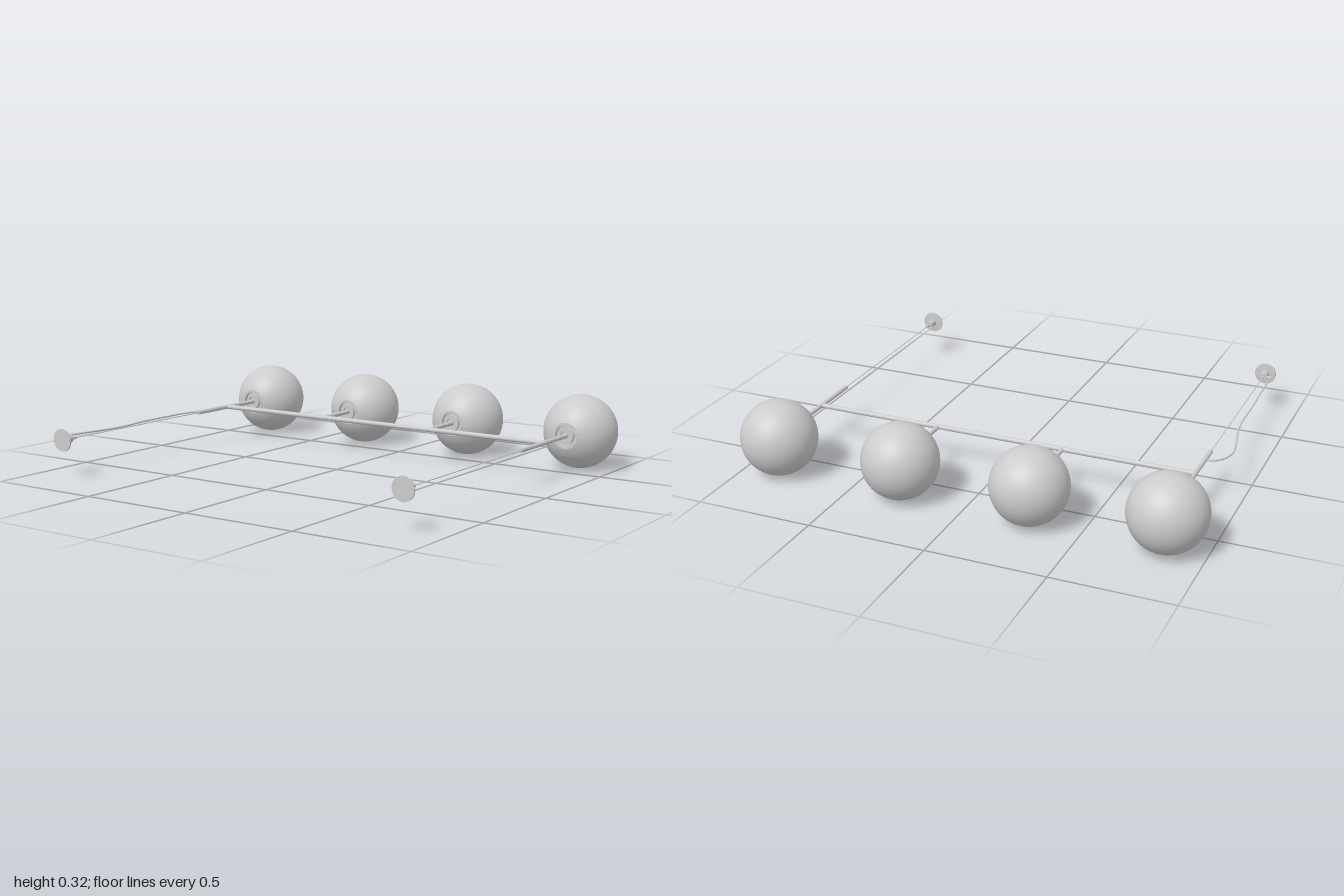
import * as THREE from 'three';

const Y = 0.16; // height of the lamp's axis plane

export function createModel() {
  const group = new THREE.Group();
  const mat = new THREE.MeshStandardMaterial({ color: 0xcccccc, side: THREE.DoubleSide });

  const add = (name, geometry, x, y, z, parent = group) => {
    const mesh = new THREE.Mesh(geometry, mat);
    mesh.name = name;
    mesh.position.set(x, y, z);
    parent.add(mesh);
    return mesh;
  };

  // Cylinder running along z from z0 to z1
  const rod = (name, x, z0, z1, r, parent) =>
    add(name, new THREE.CylinderGeometry(r, r, z1 - z0, 20).rotateX(Math.PI / 2), x, Y, (z0 + z1) / 2, parent);

  // Lathe about z; points are [radius, z], each segment is kept sharp
  const turned = (name, pts, x, z, parent) => {
    const part = new THREE.Group();
    part.name = name;
    part.position.set(x, Y, z);
    for (let i = 0; i + 1 < pts.length; i++) {
      const pair = [pts[i], pts[i + 1]].map(([r, h]) => new THREE.Vector2(r, h));
      add(name + 'Surface', new THREE.LatheGeometry(pair, 32).rotateX(Math.PI / 2), 0, 0, 0, part);
    }
    parent.add(part);
  };

  // Four globes, each with an opening, a recessed collar and a stem
  const R = 0.16, opening = 0.36;
  for (const x of [-0.84, -0.28, 0.28, 0.84]) {
    const lamp = new THREE.Group();
    lamp.name = 'lamp';
    group.add(lamp);
    const globe = new THREE.SphereGeometry(R, 48, 32, 0, Math.PI * 2, opening, Math.PI - opening);
    add('globe', globe.rotateX(Math.PI / 2), x, Y, -0.64, lamp);
    turned('collar', [
      [0.057, -0.006], [0.057, 0.003], [0.046, 0.003], [0.046, -0.012],
      [0.036, -0.012], [0.036, 0.002], [0.022, 0.002], [0.022, -0.006], [0, -0.006],
    ], x, -0.492, lamp);
    const outer = Math.abs(x) > 0.5;
    rod('stem', x, -0.5, outer ? -0.08 : -0.295, 0.0095, lamp);
  }

  // Cross bar joining the stems
  add('crossBar', new THREE.CylinderGeometry(0.0105, 0.0105, 1.68, 20).rotateZ(Math.PI / 2), 0, Y, -0.295);

  // Suspension wires and ceiling mounts
  for (const x of [-0.84, 0.84]) {
    rod('wireTip', x, -0.08, -0.07, 0.004, group);
    rod('suspensionWire', x, -0.08, 0.73, 0.002, group);
    turned('ceilingMount', [
      [0, -0.08], [0.006, -0.08], [0.006, -0.05], [0.017, -0.05], [0.017, -0.008],
      [0.048, -0.006], [0.048, 0], [0, 0],
    ], x, 0.8, group);
  }

  // Slack power cable from the right stem to its mount
  const path = new THREE.CatmullRomCurve3([
    [-0.84, 0.16, -0.16], [-0.868, 0.157, -0.152], [-0.9, 0.153, -0.115],
    [-0.922, 0.151, -0.04], [-0.914, 0.153, 0.03], [-0.89, 0.159, 0.15],
    [-0.881, 0.161, 0.25], [-0.879, 0.157, 0.42], [-0.877, 0.163, 0.6],
    [-0.878, 0.166, 0.7], [-0.879, 0.163, 0.796],
  ].map((p) => new THREE.Vector3(...p)));
  add('powerCable', new THREE.TubeGeometry(path, 120, 0.004, 8), 0, 0, 0);

  // Cable clamp on the side of the mount
  add('cableClamp', new THREE.CylinderGeometry(0.005, 0.005, 0.04, 12).rotateZ(Math.PI / 2), -0.868, Y, 0.757);

  return group;
}
